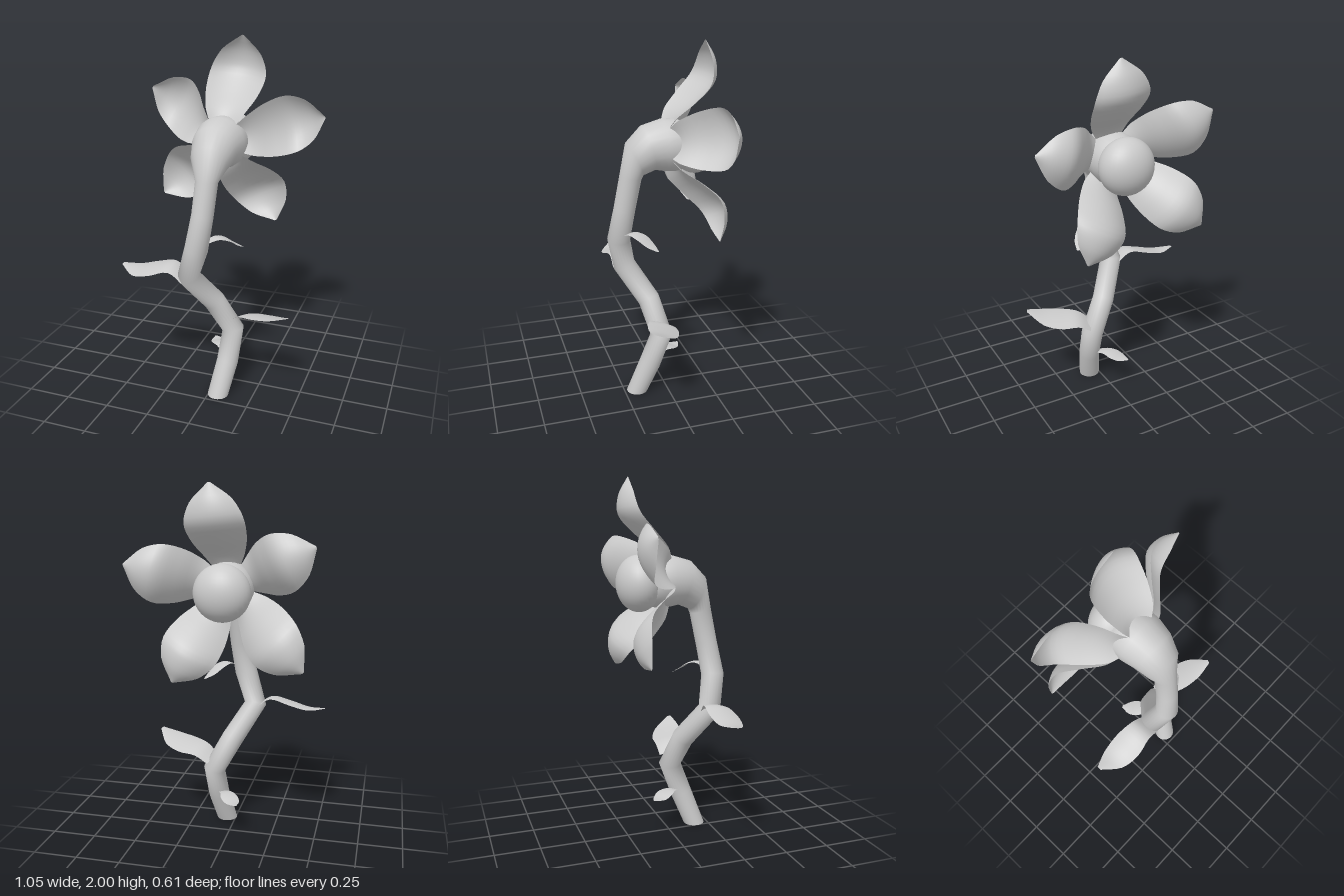
import * as THREE from 'three';

const V = (p) => new THREE.Vector3(...p);
const solid = new THREE.MeshStandardMaterial({ color: 0xcccccc });
const thin = new THREE.MeshStandardMaterial({ color: 0xcccccc, side: THREE.DoubleSide });

function gridGeometry(pos, index) {
  const g = new THREE.BufferGeometry();
  g.setAttribute('position', new THREE.Float32BufferAttribute(pos, 3));
  g.setIndex(index);
  g.computeVertexNormals();
  return g;
}

// Round tube through rows of [x, y, z, radius, optional pitch of the ring from up towards the back]
function loft(rows, sides = 24) {
  const pts = rows.map((r) => V(r.slice(0, 3)));
  const q = new THREE.Quaternion(), step = new THREE.Quaternion();
  let dir = new THREE.Vector3(0, 0, 1);
  const pos = [], index = [];
  pts.forEach((c, i) => {
    const [, , , r, pitch] = rows[i];
    let t;
    if (pitch !== undefined) {
      const a = THREE.MathUtils.degToRad(pitch);
      t = new THREE.Vector3(0, Math.cos(a), -Math.sin(a));
    } else {
      const a = c.clone().sub(pts[i - 1]).normalize();
      t = pts[i + 1].clone().sub(c).normalize().add(a).normalize();
    }
    q.premultiply(step.setFromUnitVectors(dir, t));
    dir = t;
    for (let j = 0; j < sides; j++) {
      const a = (j / sides) * Math.PI * 2;
      const p = new THREE.Vector3(Math.cos(a) * r, Math.sin(a) * r, 0).applyQuaternion(q).add(c);
      pos.push(p.x, p.y, p.z);
      if (i < pts.length - 1) {
        const k = i * sides, n = (j + 1) % sides;
        index.push(k + j, k + n, k + sides + j, k + n, k + sides + n, k + sides + j);
      }
    }
  });
  return gridGeometry(pos, index);
}

// Thin blade: midline points, half widths, sideways direction, and edge lift along bend
function blade(mid, widths, side, bend, nu = 20, nv = 12) {
  const line = new THREE.CatmullRomCurve3(mid.map(V));
  const width = new THREE.CatmullRomCurve3(widths.map((w, i) => new THREE.Vector3(w, i * 0.1, 0)));
  const pos = [], index = [];
  for (let i = 0; i <= nu; i++) {
    const c = line.getPoint(i / nu);
    const w = Math.max(0, width.getPoint(i / nu).x);
    for (let j = 0; j <= nv; j++) {
      const v = (j / nv) * 2 - 1;
      const p = c.clone().addScaledVector(side, v * w).addScaledVector(bend, v * v * w);
      pos.push(p.x, p.y, p.z);
      if (i < nu && j < nv) {
        const k = i * (nv + 1) + j, m = k + nv + 1;
        index.push(k, m, k + 1, k + 1, m, m + 1);
      }
    }
  }
  return gridGeometry(pos, index);
}

export function createModel() {
  const flower = new THREE.Group();
  flower.name = 'flower';
  const add = (name, geometry, material, parent = flower) => {
    const m = new THREE.Mesh(geometry, material);
    m.name = name;
    parent.add(m);
    return m;
  };

  // Crooked stem swelling into the cup behind the bloom
  add('stem', loft([
    [0.053, 0, 0.175, 0.06, 0],
    [0.087, 0.19, 0.105, 0.061],
    [0.098, 0.37, 0.04, 0.063],
    [0.0, 0.55, 0.085, 0.062],
    [-0.112, 0.735, 0.2, 0.064],
    [-0.045, 0.92, 0.245, 0.064],
    [-0.02, 1.1, 0.215, 0.06],
    [-0.007, 1.28, 0.182, 0.061, 12],
    [-0.003, 1.38, 0.16, 0.1, 64],
    [0, 1.437, 0.085, 0.125, 74],
    [0, 1.447, 0.0, 0.142, 87],
    [0, 1.445, -0.07, 0.143, 90],
    [0, 1.44, -0.11, 0.128, 90],
  ]), solid);

  const foot = add('stemEnd', new THREE.CircleGeometry(0.06, 24), solid);
  foot.rotation.x = Math.PI / 2;
  foot.position.set(0.053, 0, 0.175);

  // Slightly flattened round flower centre, closing the cup
  const centre = add('flowerCentre', new THREE.SphereGeometry(0.154, 32, 20), solid);
  centre.scale.z = 0.79;
  centre.position.set(0, 1.438, -0.174);

  // Five petals with edges curling back towards the stem: [angle in degrees, length scale]
  const petals = new THREE.Group();
  petals.name = 'petals';
  flower.add(petals);
  const radii = [0.1, 0.17, 0.26, 0.36, 0.46, 0.55];
  const depths = [-0.035, -0.085, -0.19, -0.278, -0.277, -0.23];
  const petalWidths = [0.07, 0.11, 0.148, 0.157, 0.112, 0.006];
  [[84, 1], [14, 0.98], [-62, 1.01], [222, 1.08], [154, 0.99]].forEach(([deg, s]) => {
    const a = THREE.MathUtils.degToRad(deg), ca = Math.cos(a), sa = Math.sin(a);
    const mid = radii.map((r, i) => {
      const x = ca * r * s, y = sa * r * s;
      return [x, 1.45 + y, depths[i] + 0.03 * y + 0.01 * x];
    });
    add('petal', blade(mid, petalWidths, new THREE.Vector3(-sa, ca, 0),
      new THREE.Vector3(0, 0, 0.42)), thin, petals);
  });

  // Leaves along the stem: midline, half widths, sideways direction, droop of the edges
  const leaves = [
    ['rightLeaf', [[-0.13, 0.73, 0.2], [-0.21, 0.785, 0.195], [-0.32, 0.762, 0.197], [-0.43, 0.735, 0.19], [-0.525, 0.742, 0.17]],
      [0.06, 0.068, 0.084, 0.068, 0.012], [0, -0.15, 1], 0.15],
    ['leftLeaf', [[0.11, 0.43, 0.04], [0.18, 0.48, 0.055], [0.27, 0.497, 0.08], [0.37, 0.517, 0.115], [0.455, 0.552, 0.16]],
      [0.055, 0.07, 0.086, 0.07, 0.012], [-0.4, 0.22, 0.92], 0.12],
    ['smallUpperLeaf', [[0.0, 0.955, 0.22], [0.05, 0.98, 0.19], [0.09, 0.968, 0.15], [0.13, 0.93, 0.11], [0.165, 0.9, 0.075]],
      [0.02, 0.035, 0.046, 0.036, 0.006], [0.68, 0, 0.73], 0.1],
    ['smallLowerLeaf', [[0.07, 0.215, 0.07], [0.025, 0.235, 0.015], [-0.005, 0.23, -0.03], [-0.035, 0.215, -0.07], [-0.06, 0.212, -0.11]],
      [0.02, 0.035, 0.05, 0.04, 0.006], [0.82, 0, -0.57], 0.1],
  ];
  leaves.forEach(([name, mid, widths, side, droop]) =>
    add(name, blade(mid, widths, V(side), new THREE.Vector3(0, -droop, 0), 16, 8), thin));

  return flower;
}
